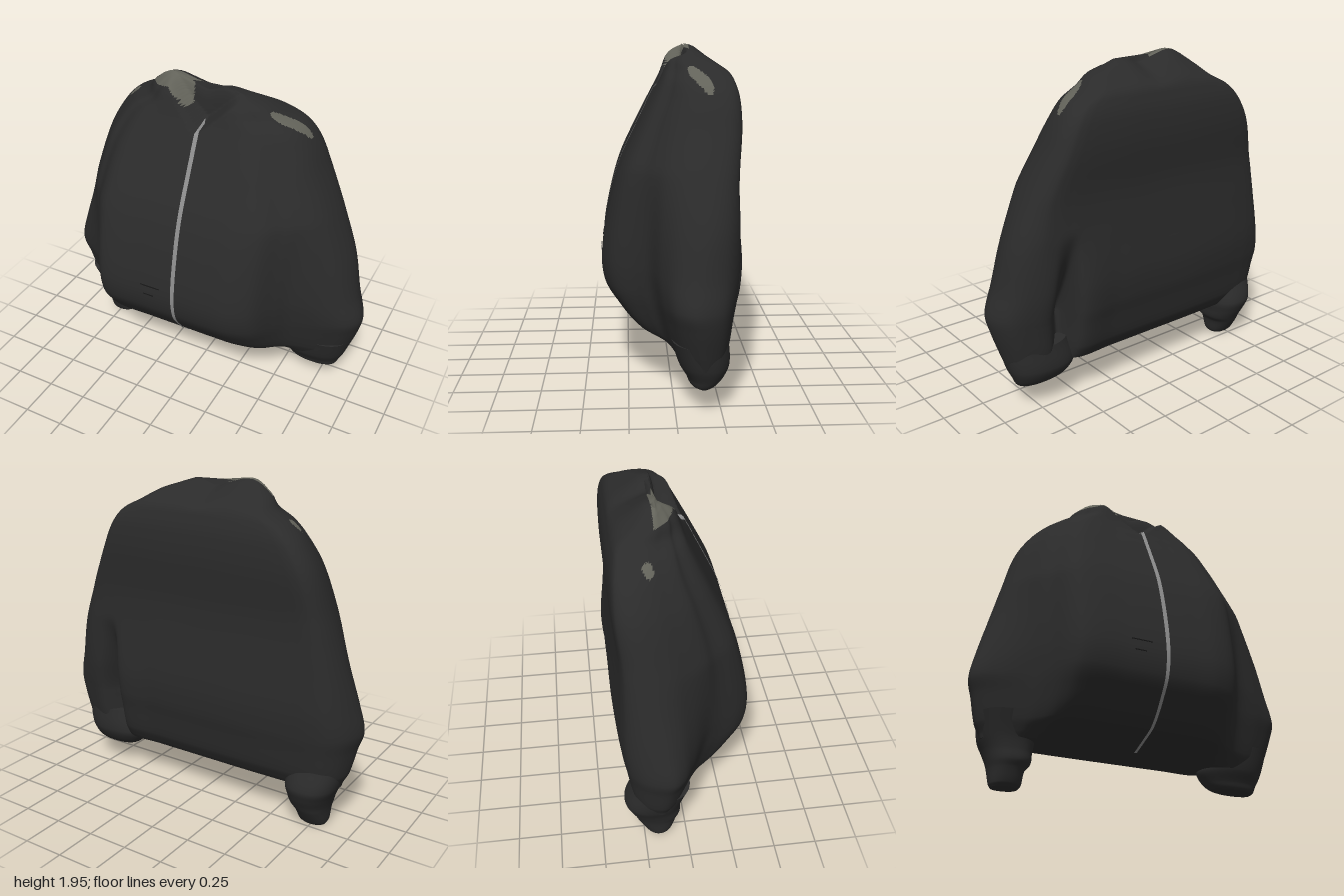
import * as THREE from 'three';

// Garment rows, bottom to top: y, right edge x, left edge x, zFront, zBack, sleeve front z, outermost z
const GARMENT = [
  [0.26, -0.90, 0.91, -0.02, -0.28, -0.02, -0.15], [0.29, -0.91, 0.92, 0.06, -0.30, 0.00, -0.15],
  [0.35, -0.94, 0.94, 0.20, -0.33, 0.03, -0.14], [0.50, -0.975, 0.985, 0.33, -0.36, 0.07, -0.12],
  [0.60, -1.00, 1.00, 0.385, -0.38, 0.09, -0.10], [0.75, -0.97, 0.955, 0.40, -0.39, 0.11, -0.12],
  [1.00, -0.90, 0.89, 0.36, -0.375, 0.11, -0.17], [1.25, -0.83, 0.785, 0.29, -0.365, 0.09, -0.20],
  [1.50, -0.755, 0.66, 0.175, -0.385, 0.03, -0.25], [1.65, -0.67, 0.585, 0.10, -0.38, -0.02, -0.26],
  [1.74, -0.58, 0.51, 0.055, -0.36, -0.04, -0.24], [1.80, -0.47, 0.40, 0.03, -0.33, -0.05, -0.20],
  [1.86, -0.41, 0.30, 0.00, -0.24, -0.05, -0.15], [1.90, -0.35, 0.18, -0.05, -0.17, -0.08, -0.12],
  [1.915, -0.31, 0.12, -0.09, -0.13, -0.10, -0.11],
];
// Sleeve ends: y, xMin, xMax, zFront, zBack
const LEFT_END = [
  [0.135, 0.62, 0.84, -0.11, -0.20], [0.15, 0.57, 0.86, -0.08, -0.23], [0.19, 0.525, 0.88, -0.06, -0.27],
  [0.26, 0.49, 0.91, -0.02, -0.30], [0.40, 0.53, 0.94, 0.02, -0.29],
];
const RIGHT_END = [
  [0.00, -0.82, -0.67, -0.10, -0.22], [0.02, -0.83, -0.655, -0.08, -0.24], [0.10, -0.84, -0.64, -0.05, -0.29],
  [0.14, -0.85, -0.61, -0.03, -0.31], [0.20, -0.87, -0.60, -0.03, -0.34], [0.27, -0.90, -0.59, -0.02, -0.36],
  [0.40, -0.93, -0.60, 0.02, -0.31],
];
const clamp = THREE.MathUtils.clamp;
const lerp = THREE.MathUtils.lerp;

// Smooth interpolation of the rows at height y
function rowAt(rows, y) {
  let k = 0;
  while (k < rows.length - 2 && y > rows[k + 1][0]) k++;
  const a = rows[k], b = rows[k + 1], h = b[0] - a[0], t = clamp((y - a[0]) / h, 0, 1);
  const slope = (i, c) => {
    const p = rows[Math.max(i - 1, 0)], q = rows[Math.min(i + 1, rows.length - 1)];
    return (q[c] - p[c]) / (q[0] - p[0]);
  };
  return a.map((v, c) => {
    if (c === 0) return y;
    const t2 = t * t, t3 = t2 * t;
    return v * (2 * t3 - 3 * t2 + 1) + b[c] * (3 * t2 - 2 * t3)
      + h * (slope(k, c) * (t3 - 2 * t2 + t) + slope(k + 1, c) * (t3 - t2));
  });
}

// Neck opening and uneven collar rim
function shapeNeck(p) {
  if (p.y > 1.66 && p.z > -0.13) {
    const d = clamp((p.y - 1.69 - 0.9 * Math.abs(p.x + 0.03)) / 0.04, 0, 1);
    p.z = lerp(p.z, -0.1, 0.8 * d);
  }
  const rim = clamp((p.y - 1.78) / 0.12, 0, 1);
  p.y += rim * (0.033 * Math.exp(-(((p.x + 0.25) / 0.1) ** 2))
    + 0.008 * Math.exp(-(((p.x - 0.09) / 0.07) ** 2)) - 0.022 * Math.exp(-(((p.x + 0.04) / 0.06) ** 2)));
  return p;
}

// Section through body and both sleeves
function garmentRing(y) {
  const [, xRight, xLeft, zF, zB, sf, zs] = rowAt(GARMENT, y);
  const depth = zF - sf, slot = clamp((1.05 - y) / 0.5, 0, 1);
  const half = (side, x, maxEdge, share, front, arm, notch) => {
    const b = Math.min(maxEdge, share * x), at = (px, pz) => new THREE.Vector3(side * px, y, pz);
    return {
      front: [
        at(x, zs), at(lerp(b, x, 0.85), lerp(sf, zs, arm[1])), at(lerp(b, x, 0.5), lerp(sf, zs, arm[0])),
        at(b, sf + 0.07 * depth), at(b * front[2], zF - 0.68 * depth), at(b * front[1], zF - 0.22 * depth),
        at(b * front[0], zF - 0.03 * depth), at(b * front[0] * 0.5, zF),
      ],
      back: [
        at(b * 0.45, zB), at(b * 0.85, lerp(zB, zs, 0.04)), at(b * 0.95, lerp(zB, zs, 0.06 + 0.75 * notch)),
        at(lerp(b, x, 0.25), lerp(zB, zs, 0.1 + 0.12 * notch)),
        at(lerp(b, x, 0.6), lerp(zB, zs, 0.2 + 0.08 * notch)), at(lerp(b, x, 0.88), lerp(zB, zs, 0.5)),
      ],
    };
  };
  const left = half(1, xLeft, 0.62, 0.8, [0.52, 0.73, 0.89], [0.18, 0.5], slot);
  const right = half(-1, -xRight, 0.71, 0.84, [0.73, 0.82, 0.92], [0.33, 0.65], 0);
  const curve = new THREE.CatmullRomCurve3([
    ...left.front, new THREE.Vector3(-0.03, y, zF), ...right.front.reverse(),
    ...right.back.reverse(), new THREE.Vector3(0, y, zB), ...left.back,
  ], true);
  return Array.from({ length: 240 }, (_, i) => shapeNeck(curve.getPoint(i / 240)));
}

// Rounded section of a sleeve end
const endRing = rows => y => {
  const [, x0, x1, zf, zb] = rowAt(rows, y);
  return Array.from({ length: 64 }, (_, j) => {
    const t = j / 64 * Math.PI * 2, c = Math.cos(t), s = Math.sin(t);
    const r = (Math.abs(c) ** 2.3 + Math.abs(s) ** 2.3) ** (-1 / 2.3);
    return new THREE.Vector3((x0 + x1 + (x1 - x0) * c * r) / 2, y, (zf + zb + (zf - zb) * s * r) / 2);
  });
};

// Worn lining showing at the collar and on the shoulders
function isLining(x, y, z) {
  const collar = y > 1.8 && z > -0.13 && x > -0.41 && x < -0.12
    && (y > 1.865 + 0.2 * (x + 0.4) || (x > -0.25 && y > 1.9 - 0.9 * (x + 0.25)));
  const leftShoulder = y > 1.65 && ((x - 0.45) / 0.11) ** 2 + ((z + 0.155 + 0.45 * (x - 0.45)) / 0.04) ** 2 < 1;
  const rightShoulder = y > 1.65 && ((x + 0.575) / 0.035) ** 2 + ((z + 0.18) / 0.03) ** 2 < 1;
  return collar || leftShoulder || rightShoulder;
}

// Closed loft through the rings; group 0 is cloth, group 1 lining
function loft(rows, ringAt, steps) {
  const pos = [], cloth = [], lining = [], heights = [];
  for (let k = 0; k < rows.length - 1; k++)
    for (let s = 0; s < steps; s++) heights.push(lerp(rows[k][0], rows[k + 1][0], s / steps));
  heights.push(rows[rows.length - 1][0]);
  const rings = heights.map(ringAt), seg = rings[0].length;
  rings.flat().forEach(p => pos.push(p.x, p.y, p.z));
  const face = (a, b, c) => {
    const mid = o => (pos[a * 3 + o] + pos[b * 3 + o] + pos[c * 3 + o]) / 3;
    (isLining(mid(0), mid(1), mid(2)) ? lining : cloth).push(a, b, c);
  };
  for (let i = 0; i < heights.length - 1; i++)
    for (let j = 0; j < seg; j++) {
      const a = i * seg + j, c = i * seg + (j + 1) % seg;
      face(a, a + seg, c);
      face(c, a + seg, c + seg);
    }
  // Bottom and top closures
  [rings[0], rings[rings.length - 1]].forEach((ring, top) => {
    const base = pos.length / 3, mid = new THREE.Vector3();
    ring.forEach(p => { pos.push(p.x, p.y, p.z); mid.addScaledVector(p, 1 / seg); });
    pos.push(mid.x, mid.y, mid.z);
    for (let j = 0; j < seg; j++) {
      const a = base + j, b = base + (j + 1) % seg;
      if (top) face(b, a, base + seg); else face(a, b, base + seg);
    }
  });
  const g = new THREE.BufferGeometry();
  g.setAttribute('position', new THREE.Float32BufferAttribute(pos, 3));
  g.setIndex([...cloth, ...lining]);
  g.addGroup(0, cloth.length, 0);
  g.addGroup(cloth.length, lining.length, 1);
  g.computeVertexNormals();
  return g;
}

// Narrow ribbon down the middle of the front, tapering to the hem
function zipperRibbon() {
  const pos = [], idx = [], n = 160;
  for (let i = 0; i <= n; i++) {
    const y = lerp(0.26, 1.73, i / n), w = lerp(0.008, 0.013, clamp((y - 0.26) / 0.6, 0, 1));
    for (const x of [-0.021 - w, -0.021 + w]) {
      const p = shapeNeck(new THREE.Vector3(x, y, rowAt(GARMENT, y)[3]));
      pos.push(p.x, p.y + (y > 1.6 ? 0.004 : 0), p.z + 0.008);
    }
    if (i < n) idx.push(2 * i, 2 * i + 1, 2 * i + 2, 2 * i + 1, 2 * i + 3, 2 * i + 2);
  }
  const g = new THREE.BufferGeometry();
  g.setAttribute('position', new THREE.Float32BufferAttribute(pos, 3));
  g.setIndex(idx);
  g.computeVertexNormals();
  return g;
}

export function createModel() {
  const material = (name, color, extra = {}) =>
    Object.assign(new THREE.MeshStandardMaterial({ color, ...extra }), { name });
  const cloth = material('black cloth', 0x2b2b2b);
  const lining = material('grey lining', 0x626259);
  const metal = material('zipper grey', 0x8c8c8c, { side: THREE.DoubleSide });
  const seam = material('dark seam', 0x161616);

  const jacket = new THREE.Group();
  jacket.name = 'jacket';
  const add = (name, geometry, mat) => {
    const mesh = new THREE.Mesh(geometry, mat);
    mesh.name = name;
    jacket.add(mesh);
    return mesh;
  };
  add('bodyAndSleeves', loft(GARMENT, garmentRing, 8), [cloth, lining]);
  add('leftSleeveEnd', loft(LEFT_END, endRing(LEFT_END), 6), [cloth, lining]);
  add('rightSleeveEnd', loft(RIGHT_END, endRing(RIGHT_END), 6), [cloth, lining]);
  add('zipper', zipperRibbon(), metal);

  // Pocket stitching on the front
  for (const [x, y, w] of [[-0.18, 0.775, 0.13], [-0.19, 0.712, 0.07]])
    add('pocketSeam', new THREE.BoxGeometry(w, 0.005, 0.008), seam).position.set(x, y, rowAt(GARMENT, y)[3]);
  return jacket;
}
